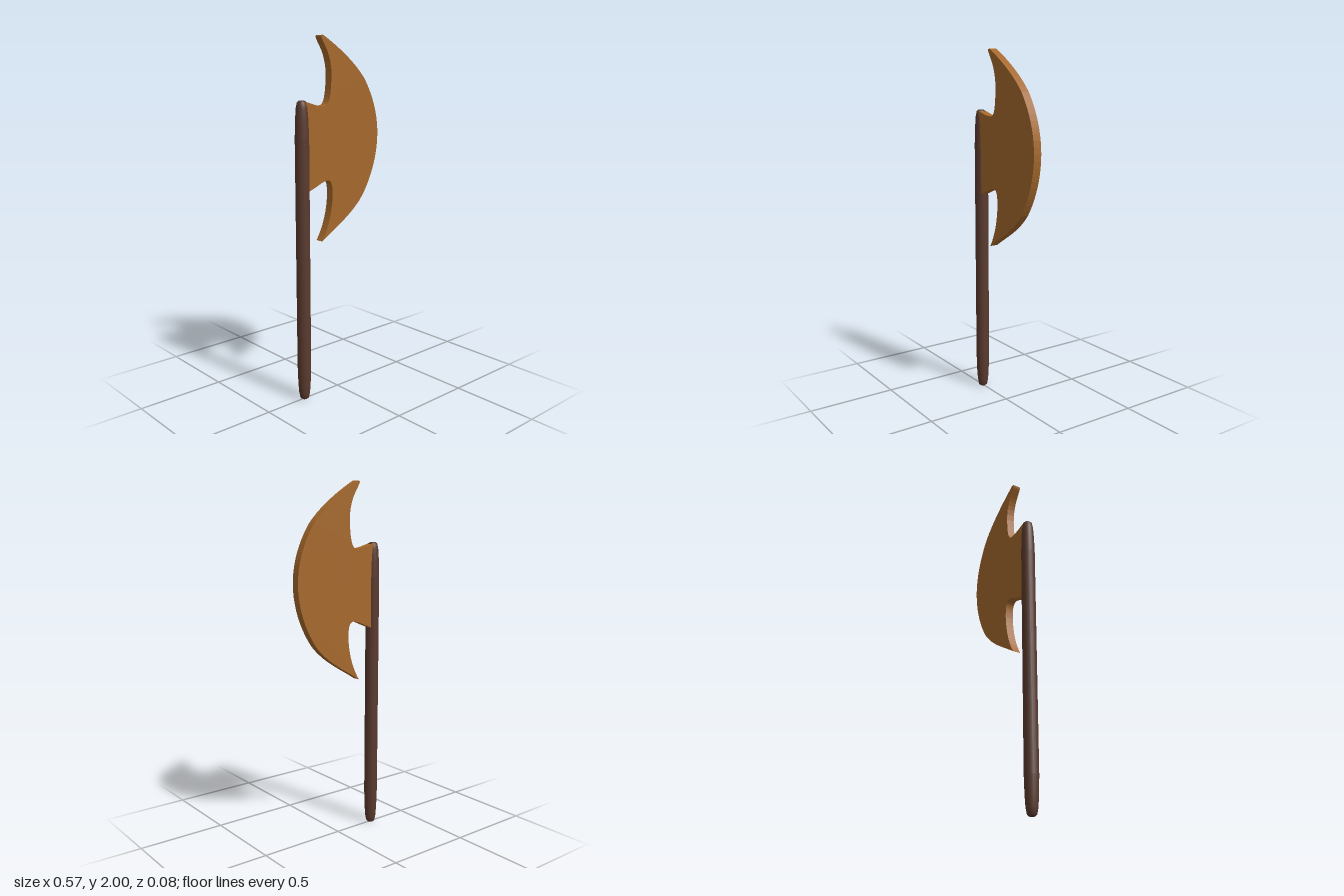
import * as THREE from 'three';

const HANDLE_X = -0.248;

export function createModel() {
  const model = new THREE.Group();
  model.name = 'axe';

  const wood = new THREE.MeshStandardMaterial({ color: 0x5a3a2e });
  wood.name = 'dark wood';
  const bronze = new THREE.MeshStandardMaterial({ color: 0xa5682c });
  bronze.name = 'bronze';

  // Handle: slim round shaft with rounded, tapered ends
  const profile = [
    [0, 0], [0.016, 0], [0.025, 0.008], [0.031, 0.04], [0.035, 0.1], [0.038, 0.2],
    [0.038, 1.47], [0.035, 1.57], [0.031, 1.63], [0.025, 1.66], [0.016, 1.668], [0, 1.668],
  ].map(([r, y]) => new THREE.Vector2(r, y));
  const handle = new THREE.Mesh(new THREE.LatheGeometry(profile, 20), wood);
  handle.name = 'handle';
  handle.position.x = HANDLE_X;
  model.add(handle);

  // Blade: crescent plate with a neck that runs into the handle
  const outline = new THREE.Shape();
  outline.moveTo(-0.24, 1.18);
  outline.lineTo(-0.21, 1.193);
  outline.bezierCurveTo(-0.15, 1.215, -0.12, 1.237, -0.085, 1.235);
  outline.bezierCurveTo(-0.06, 1.23, -0.053, 1.2, -0.054, 1.14);
  outline.bezierCurveTo(-0.06, 1.04, -0.09, 0.96, -0.13, 0.9);
  outline.bezierCurveTo(-0.03, 0.965, 0.09, 1.02, 0.17, 1.12);
  outline.bezierCurveTo(0.24, 1.22, 0.283, 1.34, 0.283, 1.458);
  outline.bezierCurveTo(0.283, 1.58, 0.235, 1.69, 0.174, 1.775);
  outline.bezierCurveTo(0.1, 1.865, -0.03, 1.95, -0.122, 2.0);
  outline.lineTo(-0.135, 1.996);
  outline.bezierCurveTo(-0.13, 1.96, -0.065, 1.92, -0.064, 1.79);
  outline.bezierCurveTo(-0.068, 1.7, -0.076, 1.64, -0.11, 1.637);
  outline.bezierCurveTo(-0.15, 1.636, -0.18, 1.645, -0.21, 1.654);
  outline.lineTo(-0.24, 1.663);
  outline.closePath();

  const depth = 0.047;
  const geometry = new THREE.ExtrudeGeometry(outline, { depth, bevelEnabled: false, curveSegments: 10 });
  geometry.translate(0, -1.45, -depth / 2);
  const blade = new THREE.Mesh(geometry, bronze);
  blade.name = 'blade';
  blade.position.y = 1.45;
  blade.rotation.x = 0.006; // slight lean of the plate
  model.add(blade);

  return model;
}
